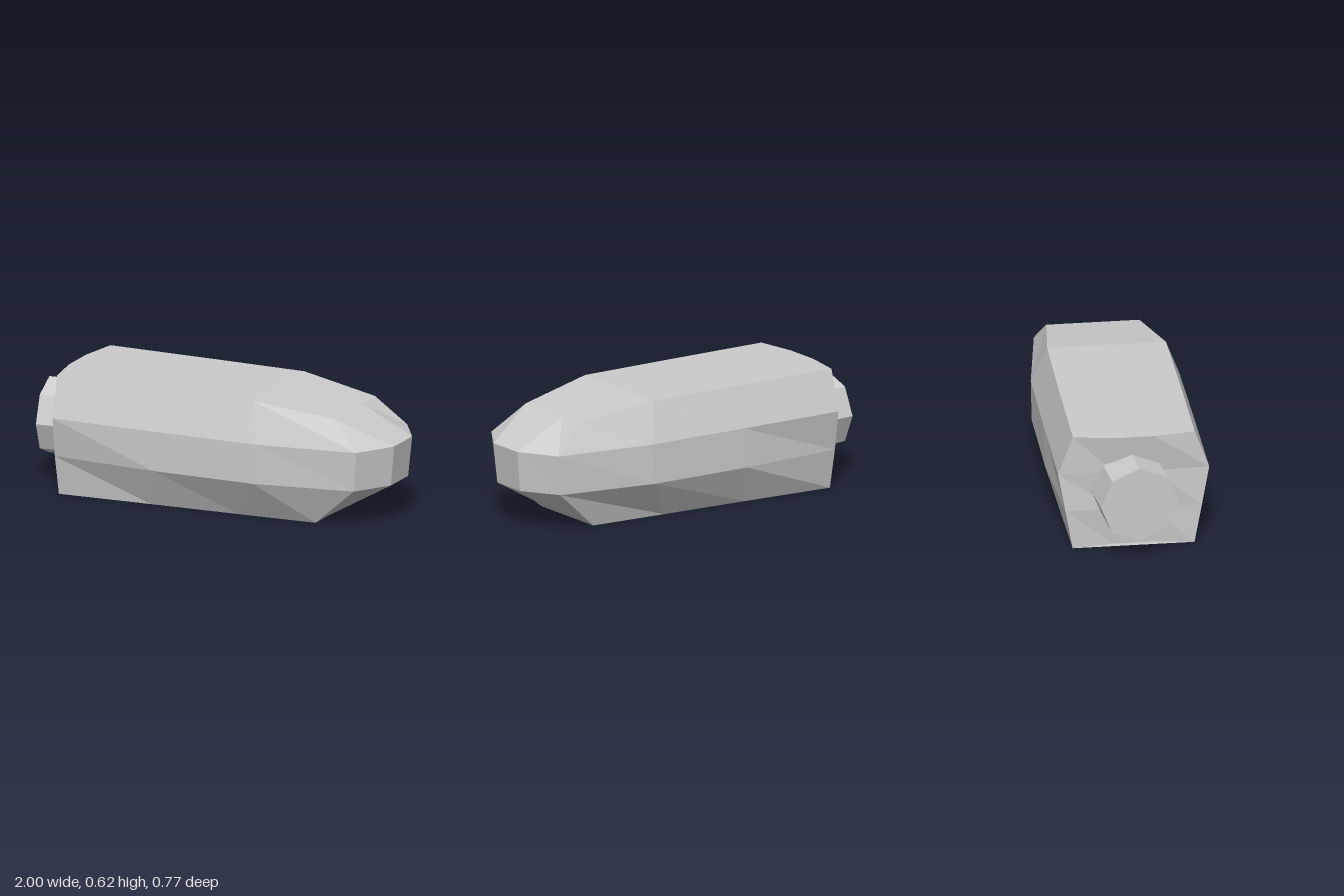
import * as THREE from 'three';

const material = new THREE.MeshStandardMaterial({ color: 0xcccccc, flatShading: true });

// Cross-sections from tail to nose. Each lists [x, y, half width, z shift]
// for the roof edge, upper side edge, lower side edge and floor edge.
const SECTIONS = [
  [[-0.825, 0.62, 0.1], [-0.79, 0.415, 0.1], [-0.77, 0.207, 0.1], [-0.75, 0, 0.1]],
  [[-0.79, 0.62, 0.31], [-0.78, 0.415, 0.385], [-0.785, 0.207, 0.347], [-0.78, 0, 0.31]],
  [[-0.2, 0.62, 0.308], [-0.2, 0.415, 0.383], [-0.22, 0.207, 0.38], [-0.28, 0, 0.28]],
  [[0.3, 0.62, 0.302], [0.36, 0.415, 0.378], [0.34, 0.207, 0.376], [0.2, 0, 0.254]],
  [[0.72, 0.555, 0.237, -0.016], [0.88, 0.415, 0.296], [0.86, 0.207, 0.284], [0.62, 0, 0.23]],
  [[0.72, 0.555, 0.1], [1.0, 0.415, 0.105], [0.98, 0.207, 0.1], [0.62, 0, 0.08]],
];

function createHull() {
  // Each ring runs down the +z side, then up the mirrored -z side
  const rings = SECTIONS.map((s) => {
    const side = (sign) => s.map(([x, y, w, shift = 0]) => [x, y, sign * w + shift]);
    return [...side(1), ...side(-1).reverse()];
  });
  const positions = [];
  const quad = (a, b, c, d) => positions.push(...a, ...b, ...c, ...a, ...c, ...d);

  // Skin between neighbouring rings
  for (let i = 0; i < rings.length - 1; i++) {
    const r = rings[i], n = rings[i + 1];
    for (let j = 0; j < 8; j++) {
      const k = (j + 1) % 8;
      quad(r[j], r[k], n[k], n[j]);
    }
  }
  // Tail and nose caps
  const tail = rings[0], nose = rings[rings.length - 1];
  for (let j = 0; j < 3; j++) {
    quad(tail[j], tail[7 - j], tail[6 - j], tail[j + 1]);
    quad(nose[j], nose[j + 1], nose[6 - j], nose[7 - j]);
  }

  const geometry = new THREE.BufferGeometry();
  geometry.setAttribute('position', new THREE.Float32BufferAttribute(positions, 3));
  geometry.computeVertexNormals();
  const hull = new THREE.Mesh(geometry, material);
  hull.name = 'hull';
  return hull;
}

function createTailStub() {
  // Slightly skewed octagonal stub sunk into the tail
  const geometry = new THREE.CylinderGeometry(0.2, 0.2, 0.3, 8);
  geometry.rotateZ(Math.PI / 2);
  geometry.rotateY(0.1);
  const stub = new THREE.Mesh(geometry, material);
  stub.name = 'tailStub';
  stub.position.set(-0.831, 0.315, -0.01);
  return stub;
}

export function createModel() {
  const model = new THREE.Group();
  model.name = 'pod';
  model.add(createHull(), createTailStub());
  return model;
}
